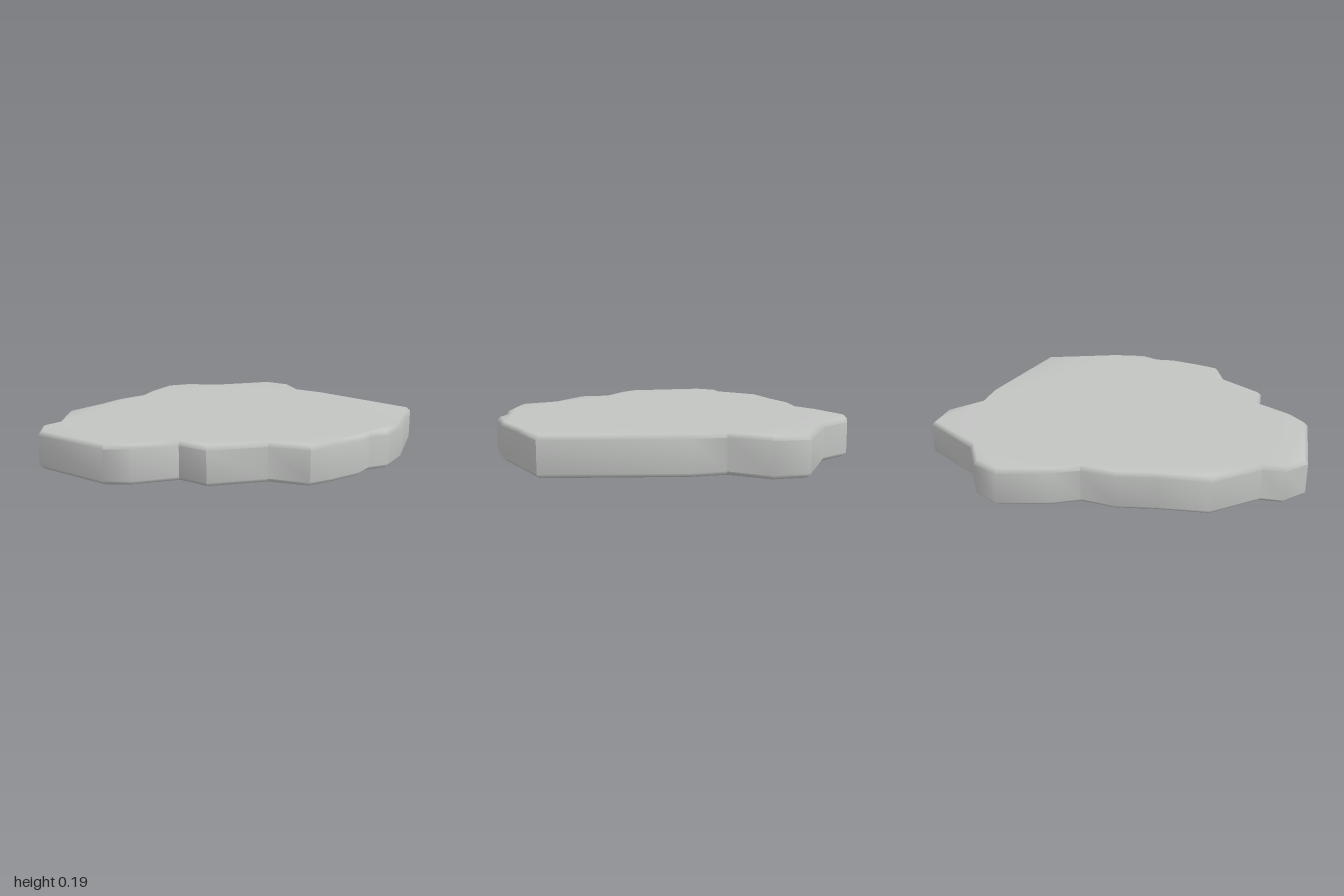
import * as THREE from 'three';

// Outline of the slab as (x, z) pairs, starting at the right-hand tip
const OUTLINE = [
  [-1, -0.34], [-0.91, -0.455], [-0.8, -0.47], [-0.6, -0.67], [-0.35, -0.715], [-0.165, -0.765],
  [0.015, -0.76], [0.14, -0.835], [0.38, -0.92], [0.525, -0.865], [0.64, -0.705], [0.98, -0.53],
  [0.998, -0.35], [0.885, -0.17], [0.905, 0], [0.85, 0.68], [0.63, 0.78], [0.435, 0.87],
  [0.24, 0.915], [0.13, 0.872], [0.025, 0.89], [-0.15, 0.86], [-0.29, 0.825], [-0.375, 0.64],
  [-0.63, 0.485], [-0.65, 0.32], [-0.85, 0.215], [-0.945, 0.12],
];
const HEIGHT = 0.195;
const BEVEL = 0.02;

// Area-weighted smooth normals that stay sharp past the crease angle; keeps the big faces flat
function creaseNormals(geometry, angle) {
  const pos = geometry.attributes.position;
  const normal = geometry.attributes.normal;
  const faces = new Map();
  const corner = (i) => new THREE.Vector3().fromBufferAttribute(pos, i);
  const key = (v) => v.toArray().map((n) => Math.round(n * 1e4)).join();
  const areas = [];
  for (let i = 0; i < pos.count; i += 3) {
    const [a, b, c] = [corner(i), corner(i + 1), corner(i + 2)];
    const area = b.clone().sub(a).cross(c.clone().sub(a));
    areas.push(area);
    for (const v of [a, b, c]) {
      if (!faces.has(key(v))) faces.set(key(v), []);
      faces.get(key(v)).push(area);
    }
  }
  for (let i = 0; i < pos.count; i++) {
    const own = areas[Math.floor(i / 3)];
    const sum = new THREE.Vector3();
    for (const other of faces.get(key(corner(i)))) {
      if (own.angleTo(other) < angle) sum.add(other);
    }
    sum.normalize();
    normal.setXYZ(i, sum.x, sum.y, sum.z);
  }
}

export function createModel() {
  const group = new THREE.Group();
  group.name = 'flatStone';
  const stone = new THREE.MeshStandardMaterial({ name: 'stone grey', color: 0xc2c4c2 });

  // Irregular slab with narrow bevels on both rims
  const shape = new THREE.Shape(OUTLINE.map(([x, z]) => new THREE.Vector2(x, -z)));
  const geometry = new THREE.ExtrudeGeometry(shape, {
    depth: HEIGHT - 2 * BEVEL,
    bevelEnabled: true,
    bevelThickness: BEVEL,
    bevelSize: BEVEL,
    bevelOffset: -BEVEL,
    bevelSegments: 1,
    steps: 1,
  });
  geometry.rotateX(-Math.PI / 2);
  geometry.translate(0, BEVEL, 0);
  geometry.clearGroups();
  creaseNormals(geometry, 0.85);

  const slab = new THREE.Mesh(geometry, stone);
  slab.name = 'stoneSlab';
  group.add(slab);
  return group;
}
